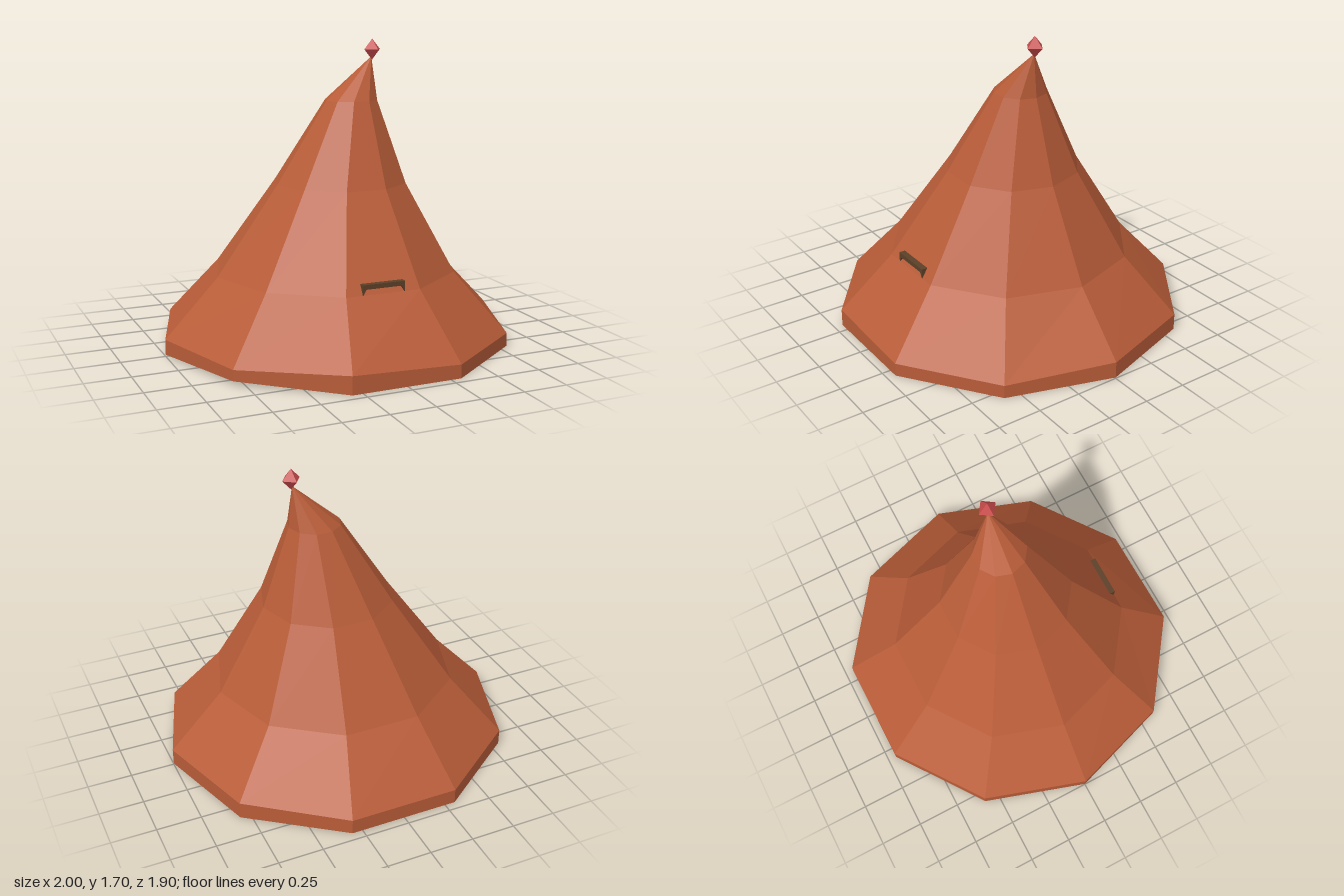
import * as THREE from 'three';

const SIDES = 10;

// Leaning ten-sided roof lofted from rings of [centre x, height, radius]
function roofGeometry() {
  const rings = [[0, 0.005, 1], [0, 0.095, 1], [0, 0.42, 0.695], [0.04, 0.91, 0.38], [0.11, 1.37, 0.15]];
  // Slightly uneven eaves, counted from +x towards the front
  const wobble = [
    [0.005, 0, 0, 0, 0.025, 0.01, 0, 0, 0, 0],
    [0.01, -0.015, -0.015, 0.01, -0.005, 0.005, 0, -0.005, -0.005, 0.005],
  ];
  const points = [];
  rings.forEach(([cx, y, r], j) => {
    for (let i = 0; i < SIDES; i++) {
      const a = (i / SIDES) * Math.PI * 2;
      points.push(cx + r * Math.cos(a), y + (wobble[j] ? wobble[j][i] : 0), r * Math.sin(a));
    }
  });
  const apex = points.length / 3;
  points.push(0.235, 1.61, 0);
  const base = apex + 1;
  points.push(0, 0.005, 0);

  const index = [];
  const top = (rings.length - 1) * SIDES;
  for (let i = 0; i < SIDES; i++) {
    const n = (i + 1) % SIDES;
    for (let j = 0; j < top; j += SIDES) {
      const a = j + i, b = j + n, c = a + SIDES, d = b + SIDES;
      index.push(a, c, b, b, c, d);
    }
    index.push(top + i, apex, top + n); // tip
    index.push(base, i, n); // underside
  }
  const geometry = new THREE.BufferGeometry();
  geometry.setAttribute('position', new THREE.Float32BufferAttribute(points, 3));
  geometry.setIndex(index);
  const flat = geometry.toNonIndexed();
  flat.computeVertexNormals();
  return flat;
}

export function createModel() {
  const model = new THREE.Group();
  model.name = 'pointedRoof';
  const add = (name, geometry, color) => {
    const material = new THREE.MeshStandardMaterial({ color, flatShading: true });
    const mesh = new THREE.Mesh(geometry, material);
    mesh.name = name;
    model.add(mesh);
    return mesh;
  };

  add('roof', roofGeometry(), 0xb85c38);

  // Small door-frame top poking out of the front slope
  const frame = new THREE.Shape([
    [-0.12, 0.412], [-0.1, 0.45], [0.105, 0.45], [0.125, 0.412], [0.125, 0.475], [-0.12, 0.475],
  ].map(([x, y]) => new THREE.Vector2(x, y)));
  add('doorFrame', new THREE.ExtrudeGeometry(frame, { depth: 0.07, bevelEnabled: false }), 0x5c4028)
    .position.z = 0.592;

  // Faceted finial on the tip
  const finial = add('finial', new THREE.OctahedronGeometry(0.055), 0xc84b4b);
  finial.position.set(0.24, 1.65, 0);
  finial.scale.y = 1.08;
  finial.rotation.y = 0.2;

  return model;
}
